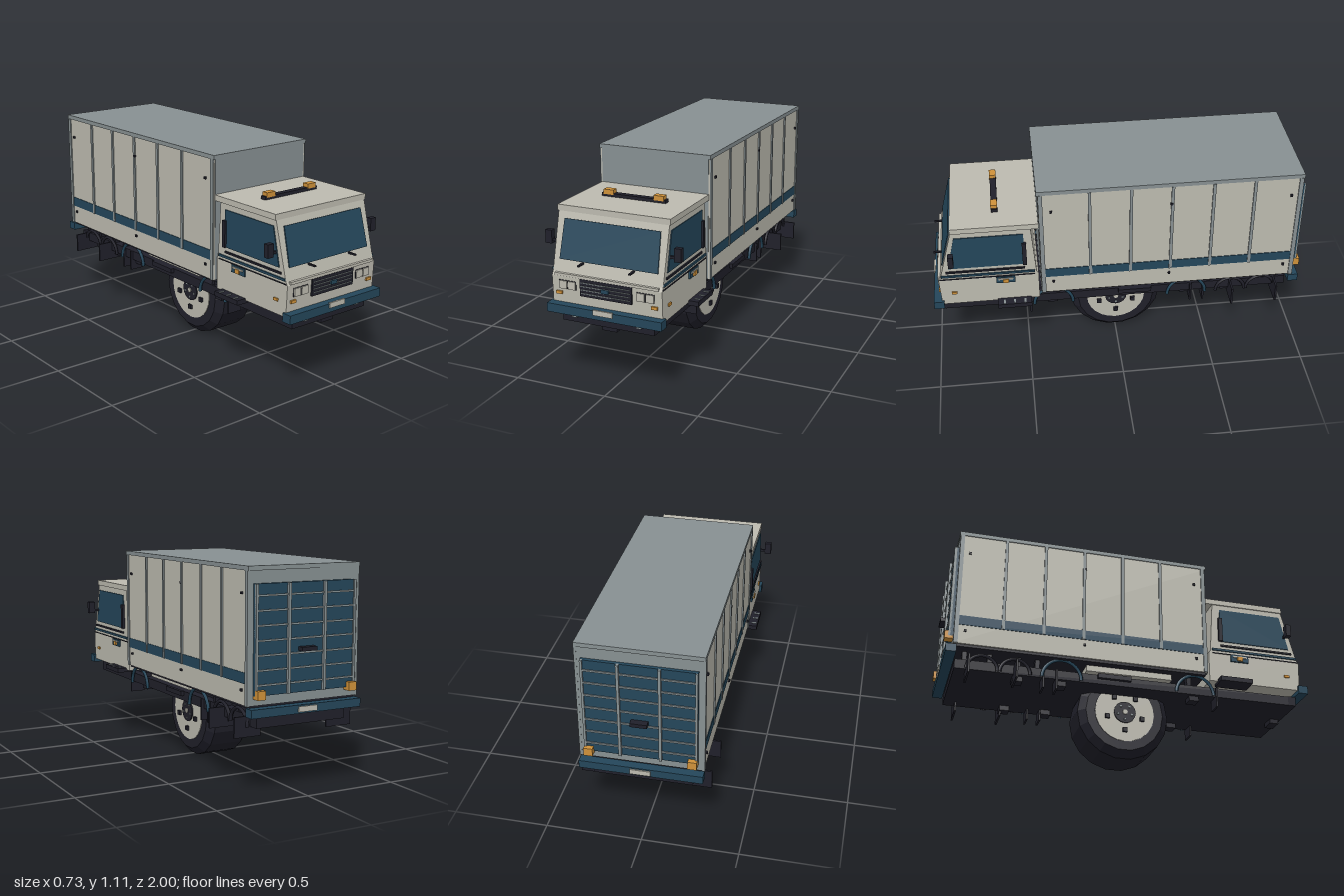
import * as THREE from 'three';

const mat = (name, color) => Object.assign(new THREE.MeshStandardMaterial({ color }), { name });

export function createModel() {
  const cream = mat('cream paint', 0xbdbbb0);
  const grey = mat('grey metal', 0x879092);
  const blue = mat('deep blue', 0x24465a);
  const dark = mat('dark rubber', 0x20202a);
  const orange = mat('amber lamp', 0xd0923a);
  const model = new THREE.Group();
  model.name = 'truck';

  const part = (name) => {
    const g = new THREE.Group();
    g.name = name;
    model.add(g);
    return g;
  };
  const add = (g, name, geo, m) => {
    const mesh = new THREE.Mesh(geo, m);
    mesh.name = name;
    g.add(mesh);
    return mesh;
  };
  // Box given by its ranges along x, y and z
  const box = (g, name, m, x0, x1, y0, y1, z0, z1) => {
    const mesh = add(g, name, new THREE.BoxGeometry(x1 - x0, y1 - y0, z1 - z0), m);
    mesh.position.set((x0 + x1) / 2, (y0 + y1) / 2, (z0 + z1) / 2);
    return mesh;
  };
  // The same box on both sides
  const pair = (g, name, m, x0, x1, ...r) => {
    box(g, name + 'Left', m, x0, x1, ...r);
    box(g, name + 'Right', m, -x1, -x0, ...r);
  };
  // Side profile in (z, y), extruded from x0 to x1
  const profile = (g, name, m, pts, x0, x1) => {
    const shape = new THREE.Shape(pts.map(([z, y]) => new THREE.Vector2(z, y)));
    const geo = new THREE.ExtrudeGeometry(shape, { depth: x1 - x0, bevelEnabled: false });
    geo.rotateY(-Math.PI / 2).translate(x1, 0, 0);
    return add(g, name, geo, m);
  };

  // Cab shell and roof
  const cab = part('cab');
  profile(cab, 'cabShell', cream, [[0.43, 0.42], [0.95, 0.42], [0.957, 0.58], [0.945, 0.6],
    [0.87, 0.885], [0.46, 0.885], [0.44, 0.6], [0.43, 0.59]], -0.297, 0.297);
  box(cab, 'cabRoof', cream, -0.303, 0.303, 0.885, 0.915, 0.42, 0.872);
  box(cab, 'noseLip', cream, -0.28, 0.28, 0.583, 0.597, 0.93, 0.962);

  // Windscreen on the sloped face
  const glass = new THREE.Shape([[-0.265, -0.1], [0.265, -0.1], [0.258, 0.1], [-0.258, 0.1]]
    .map((p) => new THREE.Vector2(...p)));
  const screen = add(cab, 'windscreen', new THREE.ExtrudeGeometry(glass, { depth: 0.006, bevelEnabled: false }), blue);
  screen.position.set(0, 0.755, 0.904);
  screen.rotation.x = -0.257;

  // Side windows, stripes, handles and mirrors
  const windowPts = [[0.9, 0.66], [0.855, 0.855], [0.5, 0.855], [0.495, 0.66]];
  profile(cab, 'sideWindowLeft', blue, windowPts, 0.297, 0.302);
  profile(cab, 'sideWindowRight', blue, windowPts, -0.302, -0.297);
  pair(cab, 'windowPost', dark, 0.297, 0.312, 0.66, 0.8, 0.488, 0.51);
  pair(cab, 'upperStripe', dark, 0.297, 0.305, 0.63, 0.64, 0.5, 0.915);
  pair(cab, 'lowerStripe', blue, 0.297, 0.304, 0.602, 0.614, 0.45, 0.942);
  pair(cab, 'sillLine', dark, 0.297, 0.302, 0.585, 0.589, 0.45, 0.95);
  pair(cab, 'handlePlate', blue, 0.297, 0.306, 0.545, 0.585, 0.555, 0.655);
  pair(cab, 'handle', cream, 0.306, 0.311, 0.568, 0.577, 0.565, 0.645);
  pair(cab, 'sideLamp', orange, 0.306, 0.315, 0.55, 0.572, 0.59, 0.62);
  pair(cab, 'sideIndicator', orange, 0.297, 0.304, 0.488, 0.502, 0.865, 0.895);
  pair(cab, 'mirrorArm', dark, 0.29, 0.335, 0.725, 0.738, 0.87, 0.882);
  pair(cab, 'mirror', dark, 0.33, 0.366, 0.715, 0.783, 0.865, 0.893);
  pair(cab, 'wiper', dark, 0.132, 0.143, 0.648, 0.656, 0.925, 0.978);
  pair(cab, 'step', dark, 0.25, 0.35, 0.405, 0.43, 0.475, 0.655);
  for (const z of [0.51, 0.565, 0.62]) pair(cab, 'stepTread', grey, 0.315, 0.345, 0.43, 0.433, z - 0.005, z + 0.005);

  // Nose: grille, headlights and indicators
  const nose = part('nose');
  box(nose, 'grille', dark, -0.14, 0.14, 0.495, 0.583, 0.945, 0.964);
  for (let i = 0; i < 4; i++) box(nose, 'grilleSlat', grey, -0.132, 0.132, 0.51 + i * 0.018, 0.514 + i * 0.018, 0.964, 0.969);
  box(nose, 'grilleCentrePlate', blue, -0.02, 0.02, 0.53, 0.55, 0.964, 0.973);
  for (const x of [0.166, 0.214]) {
    pair(nose, 'headlightRim', dark, x - 0.002, x + 0.043, 0.517, 0.562, 0.945, 0.959);
    pair(nose, 'headlight', cream, x, x + 0.041, 0.519, 0.56, 0.95, 0.964);
  }
  pair(nose, 'indicator', orange, 0.242, 0.274, 0.488, 0.503, 0.945, 0.963);
  box(nose, 'frontBumper', blue, -0.31, 0.31, 0.4, 0.445, 0.94, 0.995);
  box(nose, 'frontPlate', cream, -0.052, 0.052, 0.423, 0.45, 0.99, 1);
  box(nose, 'valance', dark, -0.25, 0.25, 0.347, 0.4, 0.9, 0.945);
  box(nose, 'towBlock', dark, -0.04, 0.04, 0.322, 0.347, 0.88, 0.93);
  pair(nose, 'fogLamp', grey, 0.162, 0.188, 0.378, 0.392, 0.94, 0.965);

  // Roof beacon bar
  const beacon = part('beaconBar');
  box(beacon, 'bar', dark, -0.175, 0.175, 0.915, 0.932, 0.622, 0.655);
  pair(beacon, 'beacon', orange, 0.11, 0.165, 0.926, 0.951, 0.622, 0.657);

  // Cargo body: grey ends and roof, cream sides
  const cargo = part('cargoBody');
  box(cargo, 'core', grey, -0.3, 0.3, 0.462, 1.1, -0.948, 0.42);
  box(cargo, 'roof', grey, -0.312, 0.312, 1.095, 1.117, -0.953, 0.424);
  pair(cargo, 'sidePanel', cream, 0.3, 0.307, 0.46, 1.095, -0.945, 0.417);
  pair(cargo, 'sideBand', blue, 0.307, 0.31, 0.565, 0.618, -0.945, 0.41);
  for (let i = 0; i < 5; i++) {
    const z = 0.155 - i * 0.2135;
    pair(cargo, 'rib', grey, 0.307, 0.314, 0.565, 1.095, z - 0.008, z + 0.008);
  }
  for (const z of [0.405, -0.938]) pair(cargo, 'cornerPost', grey, 0.3, 0.313, 0.46, 1.095, z - 0.011, z + 0.011);
  for (const z of [0.353, -0.267, -0.893]) {
    for (const y of [0.99, 0.533]) pair(cargo, 'fixing', dark, 0.307, 0.316, y - 0.006, y + 0.006, z - 0.006, z + 0.006);
  }
  box(cargo, 'floor', dark, -0.295, 0.295, 0.448, 0.463, -0.94, 0.41);

  // Rear door, lamps and bumper
  const rear = part('rear');
  box(rear, 'door', blue, -0.28, 0.28, 0.51, 1.035, -0.966, -0.945);
  for (let i = 0; i < 7; i++) box(rear, 'doorSlat', grey, -0.27, 0.27, 0.556 + i * 0.07, 0.565 + i * 0.07, -0.972, -0.96);
  for (const x of [-0.1, 0.1]) box(rear, 'doorBar', grey, x - 0.007, x + 0.007, 0.51, 1.035, -0.98, -0.96);
  pair(rear, 'doorEdge', grey, 0.268, 0.28, 0.51, 1.035, -0.974, -0.96);
  box(rear, 'doorHandle', dark, -0.042, 0.042, 0.71, 0.73, -1, -0.96);
  pair(rear, 'tailLamp', orange, 0.235, 0.28, 0.495, 0.538, -0.992, -0.945);
  box(rear, 'rearBumper', blue, -0.31, 0.31, 0.41, 0.452, -0.985, -0.93);
  box(rear, 'rearPlate', cream, -0.052, 0.052, 0.418, 0.445, -0.992, -0.98);

  // Chassis, supports, arches and flaps
  const chassis = part('chassis');
  box(chassis, 'frame', dark, -0.25, 0.25, 0.347, 0.398, -0.93, 0.93);
  box(chassis, 'subframe', cream, -0.25, 0.25, 0.415, 0.45, -0.24, 0.23);
  box(chassis, 'subframeBase', dark, -0.2, 0.2, 0.395, 0.42, -0.9, 0.9);
  for (const z of [-0.5, -0.6, -0.75, -0.88, 0.33]) pair(chassis, 'bodyMount', dark, 0.2, 0.24, 0.395, 0.455, z - 0.012, z + 0.012);
  pair(chassis, 'sideLatch', dark, 0.25, 0.27, 0.375, 0.4, -0.18, 0);
  for (const z of [0.36, -0.37, -0.6]) pair(chassis, 'springHanger', dark, 0.17, 0.23, 0.32, 0.35, z - 0.027, z + 0.027);
  for (const z of [0.48, -0.4, -0.47]) pair(chassis, 'innerFlap', dark, 0.18, 0.264, 0.287, 0.398, z - 0.005, z + 0.005);
  for (const z of [-0.62, -0.865]) pair(chassis, 'outerFlap', dark, 0.19, 0.335, 0.296, 0.398, z - 0.005, z + 0.005);
  for (const [z, r, m] of [[0.355, 0.105, blue], [-0.375, 0.105, blue], [-0.62, 0.08, dark], [-0.79, 0.08, dark]]) {
    for (const s of [-1, 1]) {
      const arch = add(chassis, 'wheelArch', new THREE.TorusGeometry(r, 0.009, 6, 16, Math.PI), m);
      arch.rotation.y = Math.PI / 2;
      arch.position.set(s * 0.265, 0.345, z);
    }
  }

  // Single central wheel
  const wheel = part('wheel');
  wheel.position.set(0, 0.25, 0);
  const tyrePts = [[0.15, -0.125], [0.165, -0.131], [0.212, -0.131], [0.25, -0.095], [0.25, 0.095], [0.212, 0.131], [0.165, 0.131], [0.15, 0.125]];
  let tyreGeo = new THREE.LatheGeometry(tyrePts.map((p) => new THREE.Vector2(...p)), 18);
  tyreGeo = tyreGeo.rotateZ(Math.PI / 2).toNonIndexed();
  tyreGeo.computeVertexNormals();
  add(wheel, 'tyre', tyreGeo, dark);
  const disc = (name, m, r, half, n) => add(wheel, name, new THREE.CylinderGeometry(r, r, half * 2, n).rotateZ(Math.PI / 2), m);
  disc('rim', cream, 0.162, 0.134, 24);
  disc('hub', dark, 0.06, 0.141, 16);
  disc('axleCap', cream, 0.014, 0.147, 8);
  for (let i = 0; i < 5; i++) {
    const a = -Math.PI / 2 + (i * Math.PI * 2) / 5;
    const [y, z] = [Math.sin(a), Math.cos(a)];
    pair(wheel, 'rimSlot', dark, 0.13, 0.147, y * 0.1 - 0.012, y * 0.1 + 0.012, z * 0.1 - 0.012, z * 0.1 + 0.012);
    pair(wheel, 'hubBolt', grey, 0.13, 0.145, y * 0.04 - 0.005, y * 0.04 + 0.005, z * 0.04 - 0.005, z * 0.04 + 0.005);
  }
  return model;
}
